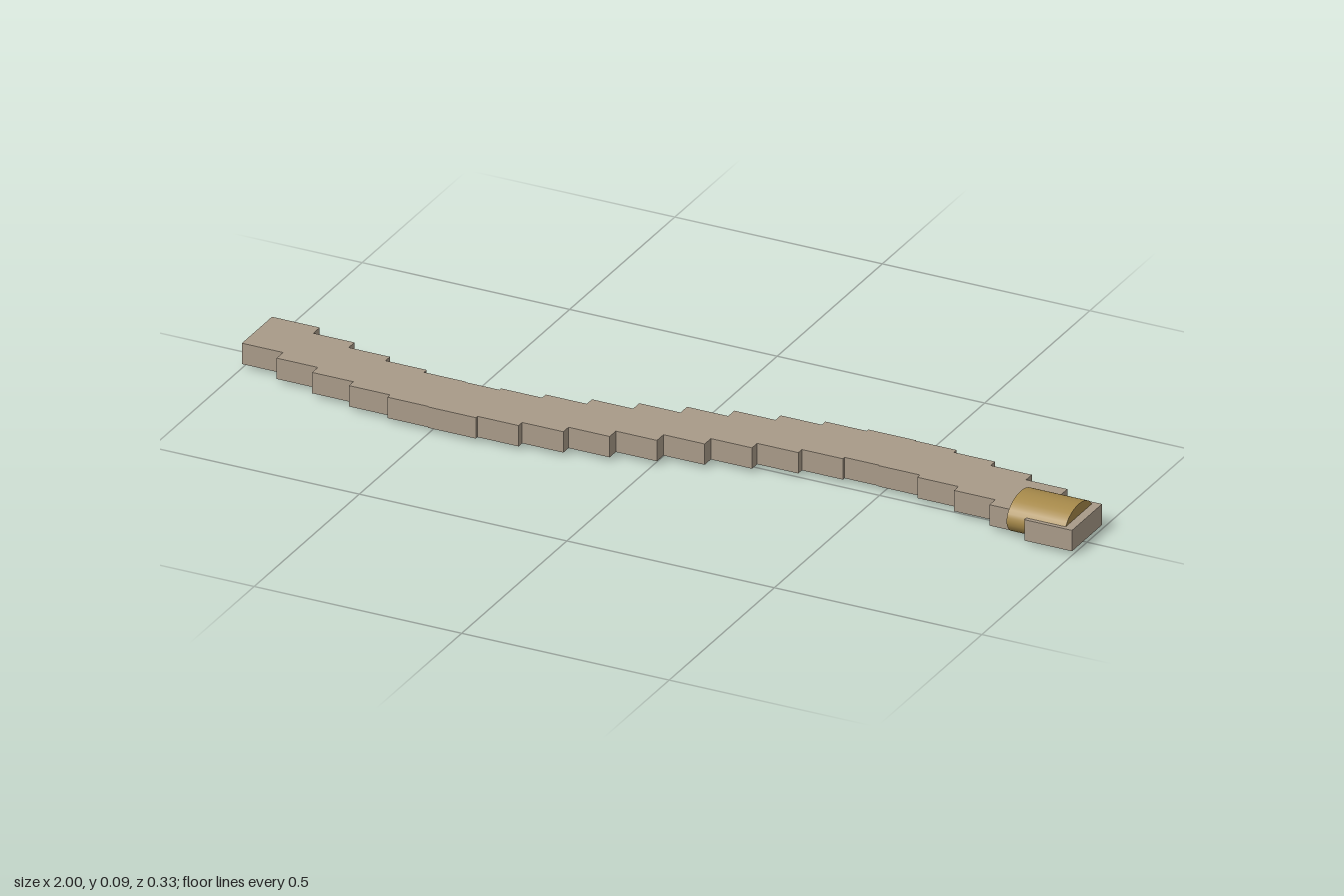
import * as THREE from 'three';

export function createModel() {
  const model = new THREE.Group();

  const stone = new THREE.MeshStandardMaterial({ color: 0xa89a88 });
  stone.name = 'warm grey';
  const gold = new THREE.MeshStandardMaterial({ color: 0xa6894a });
  gold.name = 'dull gold';

  // Overlapping blocks that follow one full wave from end to end
  const count = 20, length = 0.115, width = 0.143, height = 0.05;
  const body = new THREE.Group();
  body.name = 'wavyBody';
  const blockGeometry = new THREE.BoxGeometry(length, height, width);
  for (let i = 0; i < count; i++) {
    const t = i / (count - 1);
    const block = new THREE.Mesh(blockGeometry, stone);
    block.name = `bodySegment${i + 1}`;
    block.position.set((t - 0.5) * (2 - length), 0.035, 0.094 * Math.sin(t * Math.PI * 2));
    body.add(block);
  }
  model.add(body);

  // Flattened oval sleeve lying along the +x end
  const sleeveGeometry = new THREE.CylinderGeometry(1, 1, 0.14, 32);
  sleeveGeometry.rotateZ(Math.PI / 2);
  sleeveGeometry.scale(1, 0.0435, 0.067);
  const sleeve = new THREE.Mesh(sleeveGeometry, gold);
  sleeve.name = 'endSleeve';
  sleeve.position.set(0.91, 0.0435, 0);
  model.add(sleeve);

  return model;
}
